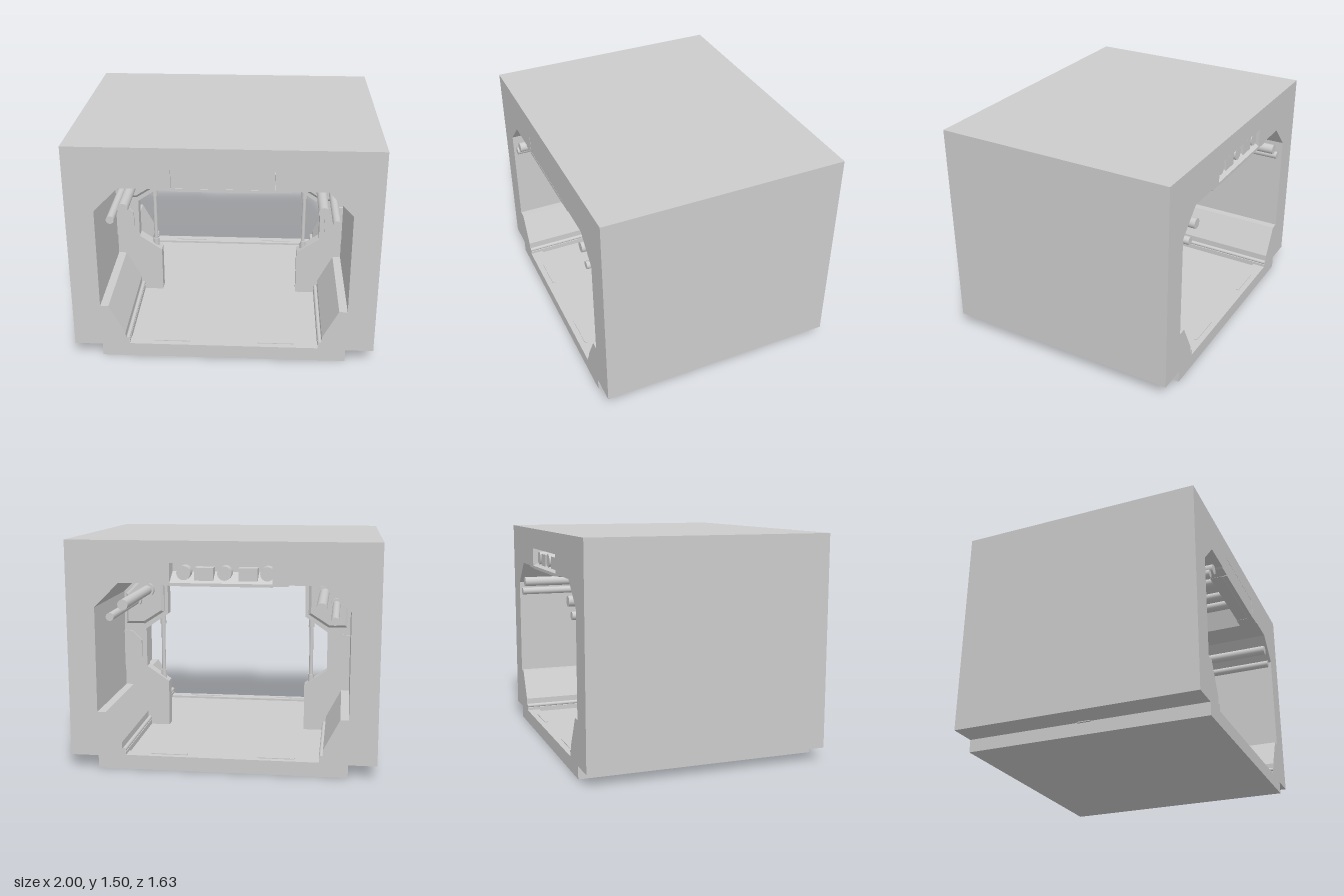
import * as THREE from 'three';

export function createModel() {
  const model = new THREE.Group();
  const mat = new THREE.MeshStandardMaterial({ color: 0xcccccc, side: THREE.DoubleSide });
  const HALF = 0.815; // half the length along z
  const END = 0.69; // inner face of the end walls

  function add(name, geometry, x = 0, y = 0, z = 0, parent = model) {
    const mesh = new THREE.Mesh(geometry, mat);
    mesh.name = name;
    mesh.position.set(x, y, z);
    parent.add(mesh);
    return mesh;
  }
  const box = (name, w, h, d, x, y, z) => add(name, new THREE.BoxGeometry(w, h, d), x, y, z);
  const points = (list, s = 1) => list.map(([x, y]) => new THREE.Vector2(x * s, y));
  // Closed outline from its right half, bottom to top
  const mirrored = half => [...half, ...half.slice().reverse().map(([x, y]) => [-x, y])];

  function prism(name, outline, z0, z1, hole, bevel = 0) {
    const shape = new THREE.Shape(outline);
    if (hole) shape.holes.push(new THREE.Path(hole));
    const geometry = new THREE.ExtrudeGeometry(shape, {
      depth: z1 - z0 - 2 * bevel, bevelEnabled: bevel > 0, bevelSegments: 1,
      bevelSize: bevel, bevelThickness: bevel, bevelOffset: -bevel,
    });
    return add(name, geometry, 0, 0, z0 + bevel);
  }
  function rod(name, radius, length, x, y, z, alongZ) {
    const mesh = add(name, new THREE.CylinderGeometry(radius, radius, length, 20), x, y, z);
    if (alongZ) mesh.rotation.x = Math.PI / 2;
    return mesh;
  }

  // Hollow shell: a long middle section and two end walls
  const outer = points(mirrored([[0.815, 0], [0.815, 0.085], [1, 0.085], [1, 1.5]]));
  const sides = [[0.63, 0.08], [0.63, 0.115], [0.655, 0.125], [0.655, 0.18], [0.76, 0.38],
    [0.815, 0.38], [0.815, 1.07], [0.655, 1.23], [0.43, 1.23]];
  const midHole = points(mirrored([...sides, [0.39, 1.37]]));
  const endHole = points(mirrored([...sides, [0.42, 1.22], [0.325, 1.22], [0.325, 1.36]]));
  prism('shell', outer, -END, END, midHole);
  prism('frontWall', outer, END, HALF, endHole);
  prism('backWall', outer, -HALF, -END, endHole);

  // Front service panel and the open equipment bay at the back
  box('frontPanel', 0.645, 0.14, 0.12, 0, 1.29, 0.754);
  box('bayBackPlate', 0.65, 0.14, 0.02, 0, 1.29, -0.69);
  for (const x of [-0.29, -0.02, 0.24]) {
    rod('bayDrum', 0.045, 0.1, x, 1.295, -0.74, true);
  }
  for (const x of [-0.17, 0.11]) box('bayUnit', 0.12, 0.09, 0.1, x, 1.285, -0.74);
  for (const s of [-1, 1]) {
    // Sloping lip below each end panel
    const lip = new THREE.Shape(points([[0, 1.215], [0, 1.235], [-0.14, 1.31], [-0.14, 1.29], [-0.03, 1.215]]));
    const geometry = new THREE.ExtrudeGeometry(lip, { depth: 0.65, bevelEnabled: false });
    const mesh = add('ceilingLip', geometry, s * 0.325, 0, s * HALF);
    mesh.rotation.y = -s * Math.PI / 2;

    // Raised sill at each end of the floor
    box('floorSill', 1.26, 0.015, 0.09, 0, 0.0875, s * 0.77);
    for (const x of [-0.35, 0.35]) box('sillStrip', 0.24, 0.006, 0.02, x, 0.097, s * 0.765);
  }

  // Cross beam of the centre frame and pipes in the ceiling channel
  prism('crossBeam', points(mirrored([[0.42, 1.22], [0.46, 1.24], [0.42, 1.38]])), -0.045, 0.045);
  for (const x of [-0.24, -0.1, 0.1, 0.24]) rod('ceilingPipe', 0.03, 2 * END, x, 1.325, 0, true);

  // Centre frame, pipes and struts on each side
  const frame = [[0.83, 0.08], [0.495, 0.08], [0.495, 0.41], [0.655, 0.52], [0.655, 0.8],
    [0.495, 0.91], [0.495, 1.235], [0.655, 1.235], [0.83, 1.07]];
  const boss = [[0.795, 0.84], [0.66, 0.84], [0.52, 0.93], [0.52, 1.205], [0.65, 1.205], [0.795, 1.06]];
  const pad = [[0.815, 0.53], [0.765, 0.53], [0.69, 0.59], [0.69, 0.715], [0.76, 0.785], [0.815, 0.785]];
  for (const s of [-1, 1]) {
    prism('sideFrame', points(frame, s), -0.045, 0.045);
    prism('pipePlate', points(boss, s), -0.085, 0.085, null, 0.018);
    prism('sidePad', points(pad, s), -0.062, 0.062);
    for (const [x, y, r] of [[0.63, 1.09, 0.034], [0.715, 1.01, 0.026]]) {
      rod('sidePipe', r, 2 * HALF, s * x, y, 0, true);
      rod('pipeCollar', r + 0.015, 0.24, s * x, y, 0, true);
    }
    rod('strut', 0.014, 0.5, s * 0.54, 0.66, 0);
    for (const y of [0.455, 0.86]) rod('strutSocket', 0.021, 0.06, s * 0.54, y, 0);
    rod('floorRail', 0.014, 2 * HALF, s * 0.643, 0.128, 0, true);
  }
  return model;
}
